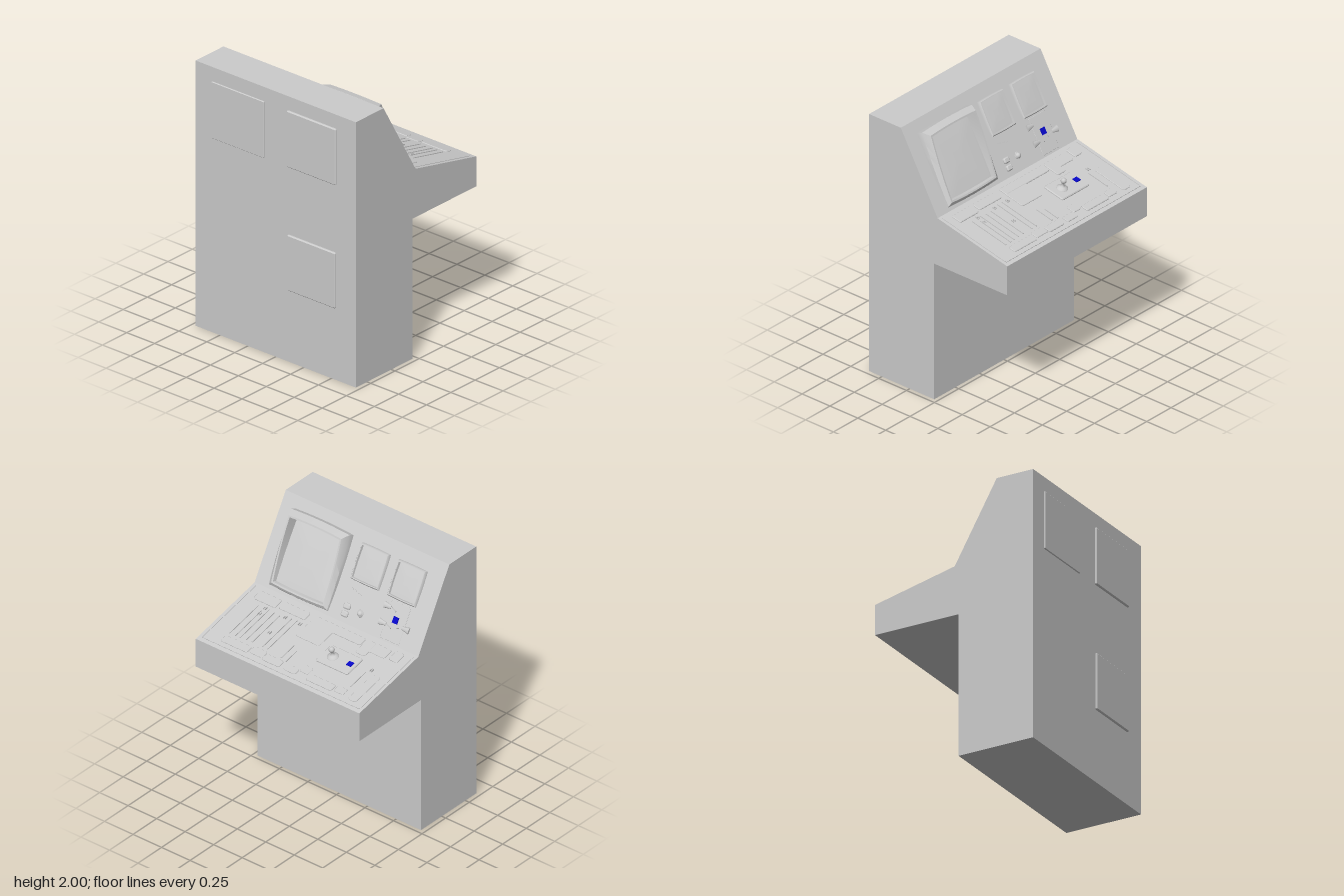
import * as THREE from 'three';
import { toCreasedNormals } from 'three/addons/utils/BufferGeometryUtils.js';

const grey = new THREE.MeshStandardMaterial({ color: 0xcccccc });
const blue = new THREE.MeshStandardMaterial({ color: 0x0808c8 });

function add(parent, name, geometry, x = 0, y = 0, z = 0, material = grey) {
  const mesh = new THREE.Mesh(geometry, material);
  mesh.name = name;
  mesh.position.set(x, y, z);
  parent.add(mesh);
  return mesh;
}

const box = (w, h, d) => new THREE.BoxGeometry(w, h, d);

// Rounded rectangle outline centred on the origin
function roundedRect(w, d, r) {
  const s = new THREE.Shape(), a = w / 2, b = d / 2;
  s.absarc(a - r, b - r, r, 0, Math.PI / 2);
  s.absarc(r - a, b - r, r, Math.PI / 2, Math.PI);
  s.absarc(r - a, r - b, r, Math.PI, Math.PI * 1.5);
  s.absarc(a - r, r - b, r, Math.PI * 1.5, Math.PI * 2);
  return s;
}

// Low bevelled plate lying on a panel, given by its x and z limits
function pad(parent, name, [x0, x1, z0, z1], h = 0.006, r = 0.012) {
  const bevel = h * 0.5;
  const geo = new THREE.ExtrudeGeometry(
    roundedRect(x1 - x0 - 2 * bevel, z1 - z0 - 2 * bevel, r),
    { depth: h * 0.5, bevelThickness: bevel, bevelSize: bevel, bevelSegments: 1, curveSegments: 3 });
  geo.rotateX(-Math.PI / 2);
  return add(parent, name, geo, (x0 + x1) / 2, 0, (z0 + z1) / 2);
}

// Four-sided ring with bowed sides; hLow and hHigh are heights at its z ends
function ring({ x0, x1, z0, z1, hLow, hHigh, bow }) {
  const corners = [[-1, -1], [1, -1], [1, 1], [-1, 1]], n = 6, points = [];
  corners.forEach(([ax, az], k) => {
    const [bx, bz] = corners[(k + 1) % 4];
    for (let i = 0; i < n; i++) {
      const t = i / n, swell = 4 * t * (1 - t) * bow;
      const u = ax + (bx - ax) * t, v = az + (bz - az) * t;
      const x = (x0 + x1) / 2 + u * (x1 - x0) / 2 + (ax === bx ? ax * swell : 0);
      const z = (z0 + z1) / 2 + v * (z1 - z0) / 2 + (az === bz ? az * swell : 0);
      points.push([x, hLow + (hHigh - hLow) * (v + 1) / 2, z]);
    }
  });
  return points;
}

// Skin a stack of rings, closing the last one with a bulged glass centre
function hoodGeometry(rings, dome) {
  const loops = rings.map(ring), n = loops[0].length, pos = [], index = [];
  loops.forEach(l => l.forEach(p => pos.push(...p)));
  const last = rings[rings.length - 1];
  const mid = [(last.x0 + last.x1) / 2, (last.hLow + last.hHigh) / 2 + dome, (last.z0 + last.z1) / 2];
  pos.push(...mid);
  loops.forEach((_, r) => {
    for (let i = 0; i < n; i++) {
      const a = r * n + i, b = r * n + (i + 1) % n;
      if (r < loops.length - 1) index.push(a, a + n, b, b, a + n, b + n);
      else index.push(a, loops.length * n, b);
    }
  });
  const geo = new THREE.BufferGeometry();
  geo.setAttribute('position', new THREE.Float32BufferAttribute(pos, 3));
  geo.setIndex(index);
  return toCreasedNormals(geo, 0.5);
}

// Small U-shaped clip
function clip(parent, x, z) {
  const g = new THREE.Group();
  g.name = 'switchClip';
  g.position.set(x, 0.005, z);
  for (const s of [-1, 1]) add(g, 'clipArm', box(0.004, 0.01, 0.026), s * 0.008);
  add(g, 'clipBridge', box(0.016, 0.008, 0.008), 0, 0, 0.006);
  parent.add(g);
}

function buildScreens(panel) {
  // Main monitor hood, deeper at the top
  add(panel, 'mainMonitor', hoodGeometry([
    { x0: 0.085, x1: 0.6, z0: 0.03, z1: 0.578, hLow: 0, hHigh: 0, bow: 0.008 },
    { x0: 0.088, x1: 0.597, z0: 0.033, z1: 0.574, hLow: 0.012, hHigh: 0.045, bow: 0.008 },
    { x0: 0.112, x1: 0.573, z0: 0.05, z1: 0.535, hLow: 0.03, hHigh: 0.09, bow: 0.008 },
    { x0: 0.124, x1: 0.561, z0: 0.062, z1: 0.523, hLow: 0.03, hHigh: 0.088, bow: 0.008 },
    { x0: 0.13, x1: 0.555, z0: 0.07, z1: 0.53, hLow: 0.004, hHigh: 0.004, bow: 0.004 }], 0.012));
  // Two small monitors
  for (const x0 of [-0.573, -0.25]) {
    const frame = (inset, h, bow = 0.003) => ({
      x0: x0 + inset, x1: x0 + 0.246 - inset, z0: 0.3 + inset, z1: 0.56 - inset, hLow: h, hHigh: h * 1.2, bow });
    add(panel, 'smallMonitor', hoodGeometry(
      [frame(0, 0), frame(0.002, 0.012), frame(0.008, 0.02), frame(0.015, 0.02), frame(0.018, 0.004)], 0.006));
  }
}

function buildSlopeControls(panel) {
  pad(panel, 'leverPlate', [-0.54, -0.375, 0.015, 0.285], 0.003, 0.004);
  add(panel, 'slopeBlueButton', box(0.042, 0.01, 0.046), -0.455, 0.006, 0.165, blue);
  // Tapered levers with a thin stalk
  for (const [x, z, dir] of [[-0.555, 0.135, 1], [-0.36, 0.115, -1], [-0.36, 0.235, -1]]) {
    const g = new THREE.Group();
    g.name = 'lever';
    g.position.set(x, 0.006, z);
    add(g, 'leverGrip', new THREE.CylinderGeometry(0.012, 0.024, 0.06, 8).scale(1, 1, 0.4)
      .rotateZ(-dir * Math.PI / 2).rotateX(Math.PI / 2));
    add(g, 'leverStalk', box(0.055, 0.008, 0.008), dir * 0.05, 0, -0.008).rotation.y = dir * 0.35;
    panel.add(g);
  }
  add(panel, 'roundKnob', new THREE.SphereGeometry(0.022, 16, 8, 0, Math.PI * 2, 0, Math.PI / 2), -0.165, 0, 0.105);
  add(panel, 'knobCollar', new THREE.CylinderGeometry(0.025, 0.027, 0.006, 16), -0.165, 0.003, 0.105);
  for (const z of [0.06, 0.115]) {
    pad(panel, 'rockerButton', [-0.078, -0.022, z - 0.021, z + 0.021], 0.016, 0.006);
  }
  // Row of indicator pins
  for (let i = 0; i < 8; i++) {
    add(panel, 'indicatorPin', box(0.004, 0.004, 0.006), -0.125 + i * 0.012, 0.002, 0.222 + i * 0.003);
  }
}

function buildDeck(deck) {
  // Raised key banks
  const banks = [
    [-0.627, -0.558, -0.57, -0.295], [-0.508, -0.423, -0.558, -0.5], [-0.41, -0.185, -0.57, -0.508],
    [-0.173, -0.096, -0.525, -0.457], [-0.094, 0.015, -0.57, -0.512], [0.046, 0.198, -0.57, -0.508],
    [0.202, 0.318, -0.558, -0.492], [0.327, 0.558, -0.57, -0.508], [-0.63, -0.555, -0.125, -0.035],
    [-0.527, -0.312, -0.135, -0.046], [-0.395, -0.312, -0.187, -0.046], [-0.302, 0.142, -0.118, -0.046],
    [-0.062, 0.142, -0.267, -0.046], [0.186, 0.415, -0.118, -0.046], [0.435, 0.627, -0.13, -0.046]];
  banks.forEach((b, i) => pad(deck, 'keyBank', b, 0.006 + (i % 3) * 0.001));
  // Thin slider rails: x, start z, end z
  const rails = [[-0.5, -0.47, -0.3], [0.04, -0.5, -0.38], [0.09, -0.49, -0.35], [0.225, -0.47, -0.15],
    [0.27, -0.47, -0.15], [0.36, -0.47, -0.17], [0.41, -0.47, -0.17], [0.46, -0.48, -0.16],
    [0.5, -0.48, -0.2], [0.55, -0.48, -0.17]];
  for (const [x, a, b] of rails) add(deck, 'sliderRail', box(0.006, 0.006, b - a), x, 0.003, (a + b) / 2);
  for (const [x, z] of [[0.315, -0.335], [0.185, -0.165], [0.315, -0.165], [0.49, -0.165],
    [0.49, -0.225], [-0.527, -0.268]]) clip(deck, x, z);
  // Border strips
  for (const x of [-0.69, 0.69]) add(deck, 'sideTrim', box(0.006, 0.005, 0.58), x, 0.001, -0.31);
  add(deck, 'edgeTrim', box(1.38, 0.005, 0.006), 0, 0.001, -0.605);

  // Joystick plate, button and stick
  pad(deck, 'joystickPlate', [-0.41, -0.13, -0.39, -0.215], 0.012, 0.008);
  add(deck, 'deckBlueButton', box(0.042, 0.012, 0.04), -0.367, 0.012, -0.304, blue);
  const stick = [[0.042, 0], [0.04, 0.012], [0.022, 0.022], [0.009, 0.03], [0.009, 0.05], [0.016, 0.056],
    [0.021, 0.068], [0.019, 0.08], [0.011, 0.088], [0, 0.09]].map(p => new THREE.Vector2(...p));
  add(deck, 'joystick', new THREE.LatheGeometry(stick, 20), -0.218, 0.006, -0.305);
}

export function createModel() {
  const model = new THREE.Group();
  model.name = 'controlConsole';

  // Cabinet: side profile (z, y) swept across the width
  const profile = new THREE.Shape([[0.615, 0], [0.615, 2], [0.33, 2], [0, 1.42], [-0.625, 1.28],
    [-0.625, 1.055], [0.03, 1.055], [0.03, 0]].map(p => new THREE.Vector2(...p)));
  add(model, 'cabinet', new THREE.ExtrudeGeometry(profile, { depth: 1.434, bevelEnabled: false }),
    0.717).rotation.y = -Math.PI / 2;

  // Access panels on the flat side: x limits, y limits
  for (const [x0, x1, y0, y1, h] of [[0.105, 0.545, 1.47, 1.895, 0.014], [0.11, 0.54, 0.54, 0.96, 0.014],
    [-0.572, -0.102, 1.465, 1.892, 0.008]]) {
    const holder = new THREE.Group();
    holder.name = 'accessPanel';
    holder.rotation.x = Math.PI / 2;
    holder.position.z = 0.615;
    pad(holder, 'panelDoor', [x0, x1, -y1, -y0], h, 0.003);
    model.add(holder);
  }

  // Sloped panels share a hinge line; y is out of the panel and z runs up it
  const tilted = (name, angle) => {
    const g = new THREE.Group();
    g.name = name;
    g.position.y = 1.42;
    g.rotation.x = -angle;
    model.add(g);
    return g;
  };
  const upper = tilted('monitorPanel', Math.atan2(0.58, 0.33));
  buildScreens(upper);
  buildSlopeControls(upper);
  buildDeck(tilted('controlDeck', Math.atan2(0.14, 0.625)));
  return model;
}
